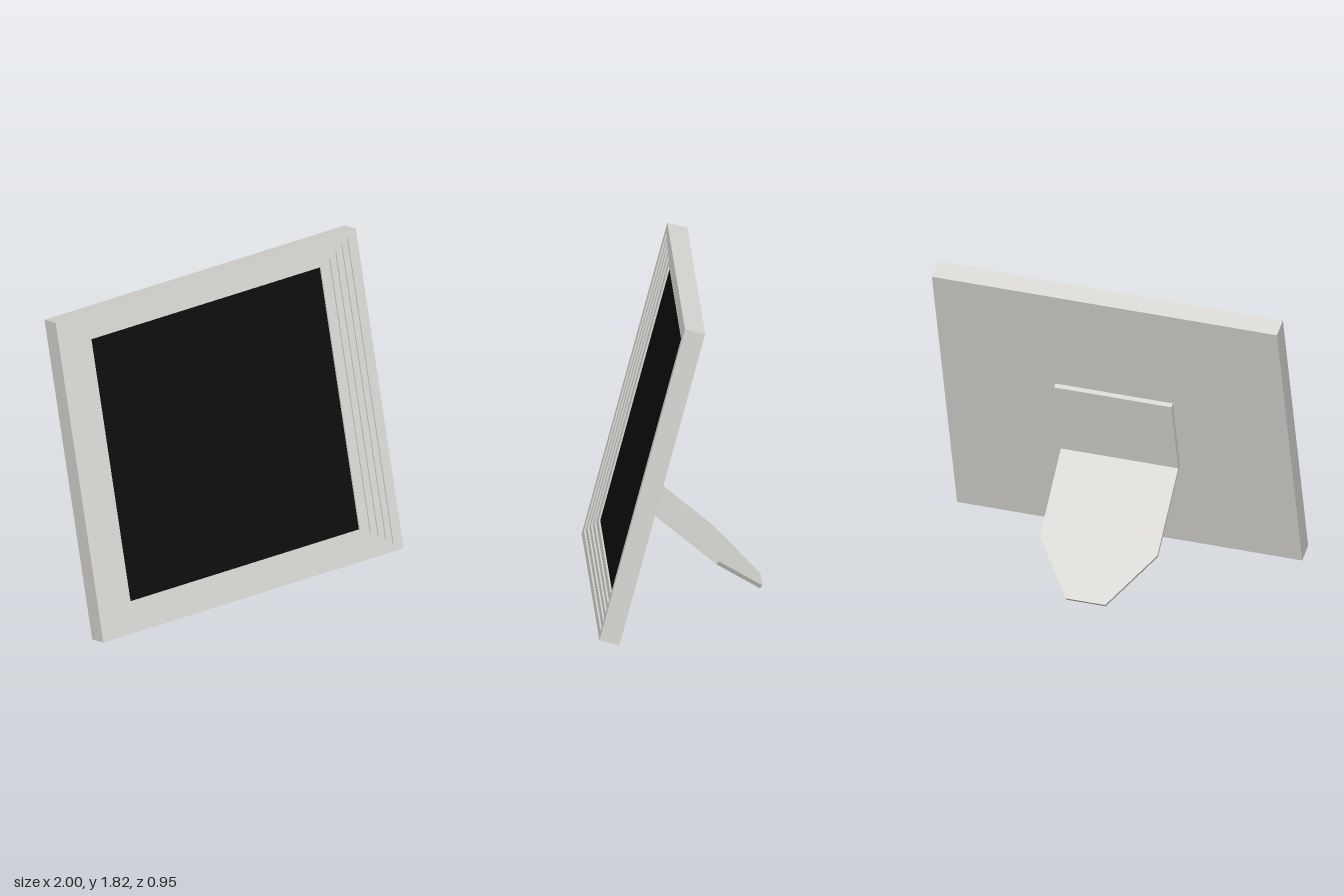
import * as THREE from 'three';

const W = 2, H = 1.857, THICK = 0.115, TILT = 0.2587;

// Trace a closed polygon on a Shape or Path
function polygon(target, pts) {
  target.setFromPoints(pts.map(([x, y]) => new THREE.Vector2(x, y)));
  target.closePath();
  return target;
}

// Rectangle corners inset from the frame outline
function insetRect(ix, iy) {
  const x = W / 2 - ix;
  return [[-x, iy], [x, iy], [x, H - iy], [-x, H - iy]];
}

export function createModel() {
  const frameMat = new THREE.MeshStandardMaterial({ color: 0xd9d8d4 });
  frameMat.name = 'warm light grey';
  const panelMat = new THREE.MeshStandardMaterial({ color: 0x0d0d0d });
  panelMat.name = 'black';

  const model = new THREE.Group();
  model.name = 'pictureFrame';

  const add = (parent, name, geometry, material) => {
    const mesh = new THREE.Mesh(geometry, material);
    mesh.name = name;
    parent.add(mesh);
    return mesh;
  };
  const extrude = (shape, depth) =>
    new THREE.ExtrudeGeometry(shape, { depth, bevelEnabled: false });

  // Leaning body: pivots on its lower back edge
  const body = new THREE.Group();
  body.name = 'leaningBody';
  body.position.z = 0.365;
  body.rotation.x = -TILT;
  model.add(body);

  // Stepped moulding: each ring sits further back with a smaller opening
  const insetsX = [0.059, 0.096, 0.135, 0.175, 0.236];
  const insetsY = [0.039, 0.071, 0.1, 0.129, 0.166];
  const depths = [0, 0.01, 0.02, 0.03, 0.04, 0.055];
  insetsX.forEach((ix, i) => {
    const shape = polygon(new THREE.Shape(), insetRect(0, 0));
    shape.holes.push(polygon(new THREE.Path(), insetRect(ix, insetsY[i])));
    const ring = add(body, 'mouldingStep' + (i + 1), extrude(shape, depths[i + 1] - depths[i]), frameMat);
    ring.position.z = THICK - depths[i + 1];
  });

  // Solid back board
  const backDepth = THICK - depths[5];
  const back = add(body, 'backBoard', new THREE.BoxGeometry(W, H, backDepth), frameMat);
  back.position.set(0, H / 2, backDepth / 2);

  // Black picture panel
  const panel = add(body, 'picturePanel',
    new THREE.BoxGeometry(W - 2 * insetsX[4], H - 2 * insetsY[4], 0.004), panelMat);
  panel.position.set(0, H / 2, backDepth + 0.002);

  // Hinge plate fixed to the back
  const plate = add(body, 'hingePlate', new THREE.BoxGeometry(0.68, 0.516, 0.03), frameMat);
  plate.position.set(0, 0.878, -0.015);

  // Support leg with tapered foot, running down and back
  const legShape = polygon(new THREE.Shape(), [
    [-0.34, -0.012], [0.34, -0.012], [0.34, 0.515],
    [0.115, 0.845], [-0.115, 0.845], [-0.34, 0.515],
  ]);
  const leg = add(model, 'supportLeg', extrude(legShape, 0.022), frameMat);
  leg.position.set(0, 0.588, 0.189);
  leg.rotation.x = -2.271;

  return model;
}
